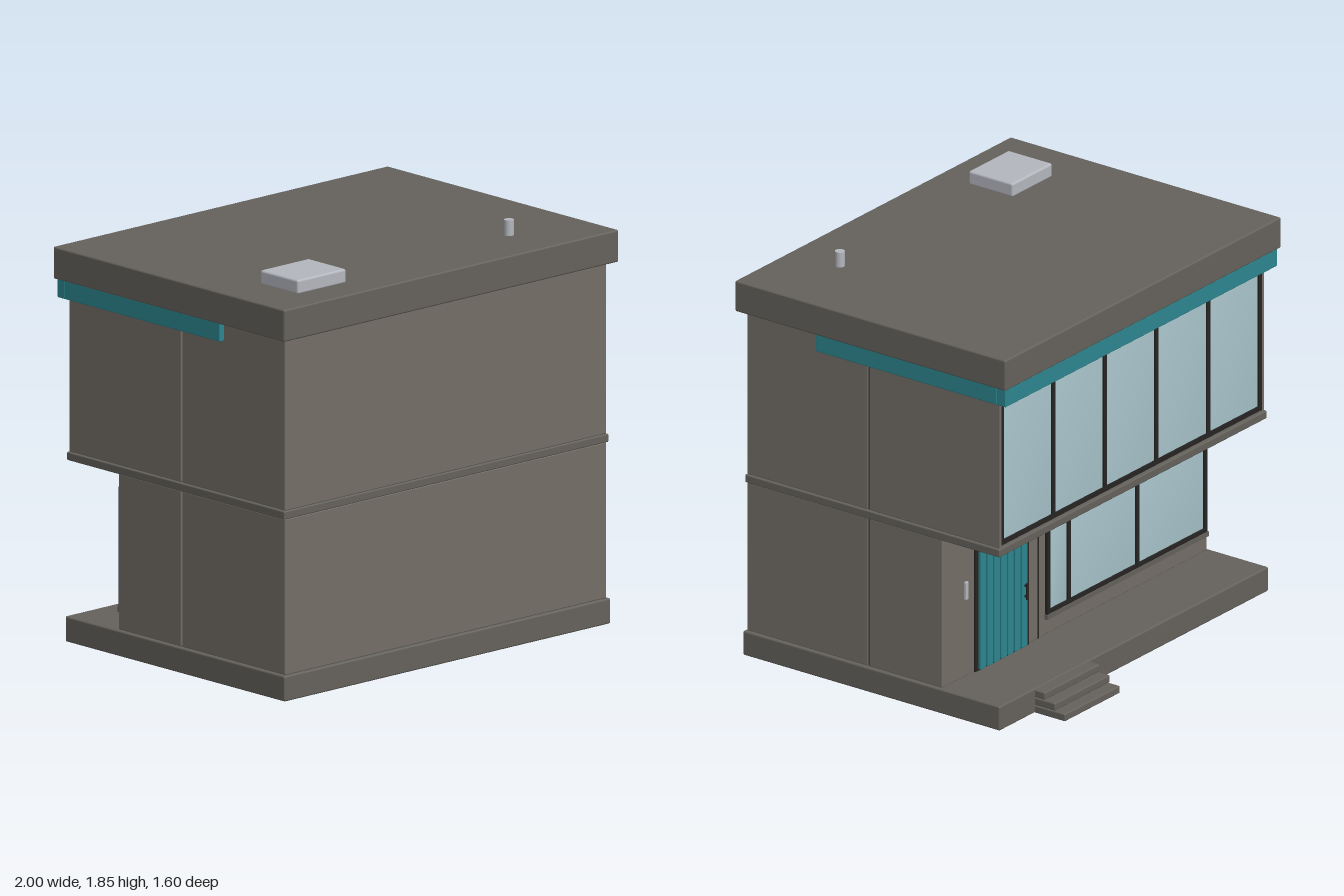
import * as THREE from 'three';
import { mergeVertices } from 'three/addons/utils/BufferGeometryUtils.js';
import { RoundedBoxGeometry } from 'three/addons/geometries/RoundedBoxGeometry.js';

const mat = (color) => new THREE.MeshStandardMaterial({ color });

export function createModel() {
  const house = new THREE.Group();
  house.name = 'house';
  const wall = mat(0x746f67), trim = mat(0x65625c), teal = mat(0x2d8790);
  const glass = mat(0xa9c5cc), dark = mat(0x262523), metal = mat(0xb4b7be);

  function add(name, geometry, material, parent = house) {
    const mesh = new THREE.Mesh(geometry, material);
    mesh.name = name;
    parent.add(mesh);
    return mesh;
  }
  // Box given by its limits on each axis; r softens the edges
  function box(name, material, [x0, x1], [y0, y1], [z0, z1], r = 0, parent = house) {
    const size = [x1 - x0, y1 - y0, z1 - z0];
    const geo = r ? new RoundedBoxGeometry(...size, 2, r) : new THREE.BoxGeometry(...size);
    geo.translate((x0 + x1) / 2, (y0 + y1) / 2, (z0 + z1) / 2);
    return add(name, geo, material, parent);
  }
  // Glass pane with softly shaded, shared corner normals
  function pane(x, y, z, parent) {
    const mesh = box('pane', glass, x, y, z, 0, parent);
    mesh.geometry.deleteAttribute('normal');
    mesh.geometry.deleteAttribute('uv');
    mesh.geometry = mergeVertices(mesh.geometry);
    mesh.geometry.computeVertexNormals();
  }
  // Window row: xs are the bar centres from one end to the other
  function windowRow(name, xs, y0, y1, zOut, bar) {
    const g = new THREE.Group();
    g.name = name;
    house.add(g);
    const b = bar / 2, lo = xs[0], hi = xs[xs.length - 1], z = [zOut, zOut + 0.03];
    box('bottomRail', dark, [lo - b, hi + b], [y0, y0 + bar], z, 0, g);
    box('topRail', dark, [lo - b, hi + b], [y1 - bar, y1], z, 0, g);
    xs.forEach((x, i) => {
      box('mullion', dark, [x - b, x + b], [y0 + bar, y1 - bar], z, 0, g);
      if (i) pane([xs[i - 1] + b, x - b], [y0 + bar, y1 - bar], [zOut + 0.008, zOut + 0.028], g);
    });
  }

  // Base, floor band and roof
  box('plinth', trim, [-0.975, 0.975], [0, 0.115], [-0.63, 0.775], 0.008);
  box('floorBand', trim, [-0.97, 0.97], [0.82, 0.858], [-0.625, 0.768], 0.006);
  box('roof', trim, [-1, 1], [1.635, 1.78], [-0.68, 0.8], 0.008);

  // Two storeys, each split by a narrow vertical joint on the sides
  const seam = 0.1, gap = 0.003;
  for (const [level, y, back] of [['lower', [0.115, 0.82], -0.305], ['upper', [0.858, 1.635], -0.595]]) {
    box(level + 'FrontWalls', wall, [-0.96, 0.96], y, [seam + gap, 0.762], 0.005);
    box(level + 'RearWalls', wall, [-0.96, 0.96], y, [back, seam - gap], 0.005);
    box(level + 'Joint', dark, [-0.953, 0.953], y, [seam - 0.01, seam + 0.01]);
  }

  // Upper glazing: five equal panes between slim end piers
  windowRow('upperWindows', [0, 1, 2, 3, 4, 5].map((i) => -0.935 + i * 0.374), 0.866, 1.6, -0.615, 0.022);
  box('windowHead', wall, [-0.95, 0.95], [1.6, 1.635], [-0.615, -0.59]);
  for (const s of [-1, 1]) {
    box('endPier', wall, [s * 0.953 - 0.007, s * 0.953 + 0.007], [0.858, 1.635], [-0.617, -0.58]);
    box('sideFascia', teal, [s * 0.97 - 0.015, s * 0.97 + 0.015], [1.55, 1.635], [-0.622, 0.37], 0.005);
  }
  box('rearFascia', teal, [-0.985, 0.985], [1.55, 1.635], [-0.67, -0.62], 0.005);

  // Ground floor window
  windowRow('lowerWindow', [-0.935, -0.44, 0.055, 0.205], 0.21, 0.755, -0.318, 0.022);
  box('windowSill', trim, [-0.95, 0.22], [0.19, 0.212], [-0.322, -0.3]);
  box('pierJoint', dark, [0.262, 0.268], [0.115, 0.82], [-0.307, -0.3]);

  // Entrance: dark panel faced with vertical slats
  box('doorPanel', dark, [0.345, 0.73], [0.115, 0.71], [-0.314, -0.3]);
  for (let i = 0; i < 7; i++) {
    const x = 0.39 + i * 0.05;
    box('doorSlat', teal, [x - 0.02, x + 0.02], [0.122, 0.7], [-0.328, -0.31], 0.004);
  }
  box('doorHandle', dark, [0.383, 0.397], [0.35, 0.43], [-0.346, -0.336], 0.003);
  for (const y of [0.365, 0.415]) box('handlePost', dark, [0.386, 0.394], [y - 0.005, y + 0.005], [-0.338, -0.326]);
  box('wallLamp', metal, [0.782, 0.802], [0.48, 0.565], [-0.316, -0.3], 0.004);

  // Entrance steps
  [-0.795, -0.74, -0.685].forEach((z, i) =>
    box('step', trim, [0.32, 0.72], [i * 0.037, i * 0.037 + 0.035], [z, -0.625], 0.006));

  // Rooftop hatch and vent
  box('roofHatch', metal, [-0.765, -0.475], [1.775, 1.84], [0.393, 0.635], 0.01);
  add('roofVent', new THREE.CylinderGeometry(0.022, 0.022, 0.075, 20), metal).position.set(0.59, 1.8125, 0.535);

  return house;
}
